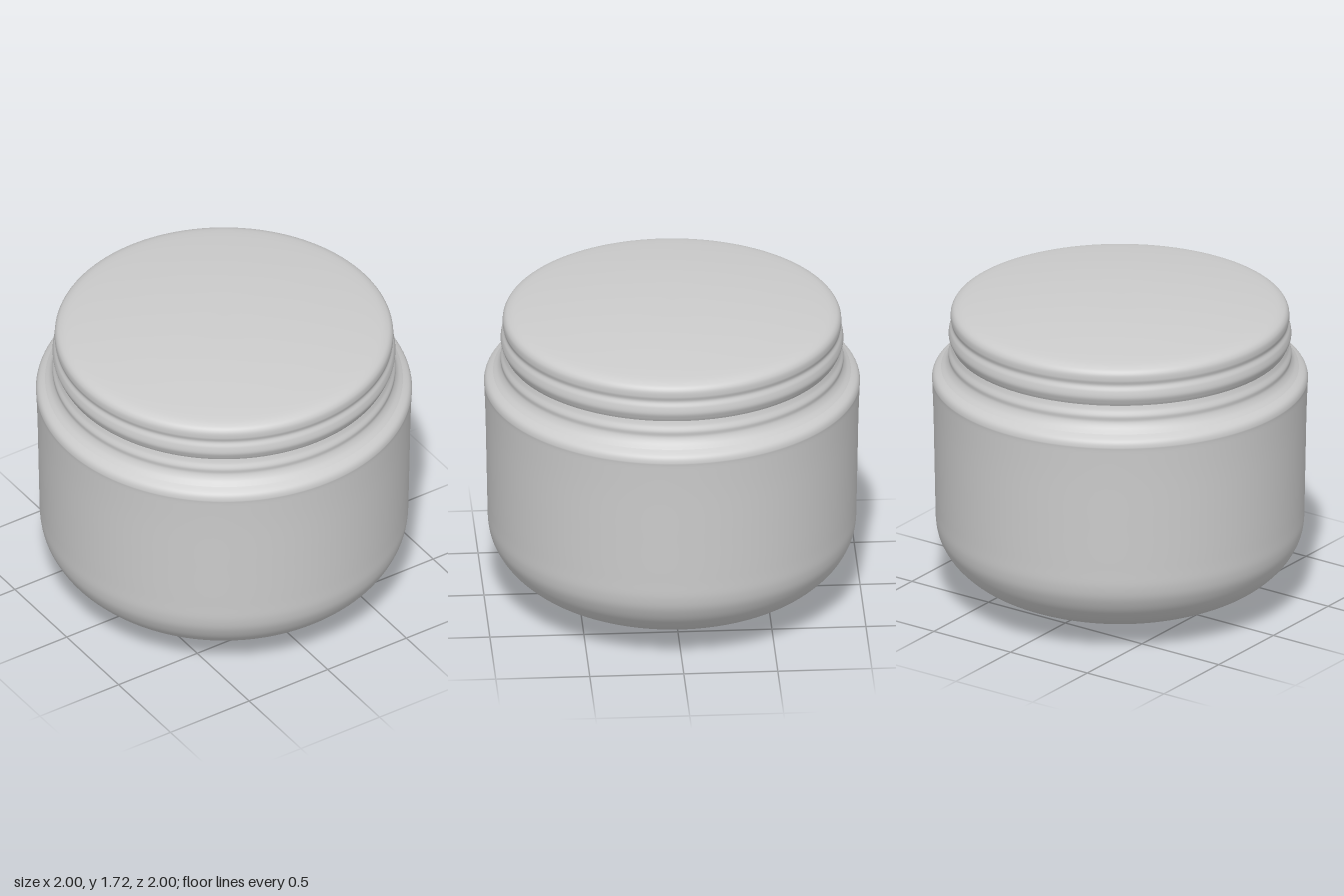
import * as THREE from 'three';

const material = new THREE.MeshStandardMaterial({ color: 0xcccccc, side: THREE.DoubleSide });

// Smooth turned part: a spline through [radius, height] points, listed bottom to top
function turned(name, points, steps) {
  const curve = new THREE.SplineCurve(points.map(([r, y]) => new THREE.Vector2(r, y)));
  const profile = curve.getPoints(steps).map((p) => p.set(Math.max(p.x, 0), Math.max(p.y, 0)));
  const mesh = new THREE.Mesh(new THREE.LatheGeometry(profile, 128), material);
  mesh.name = name;
  return mesh;
}

export function createModel() {
  const group = new THREE.Group();
  group.name = 'jar';

  // Rounded base, slightly flaring wall and soft shoulder
  group.add(turned('body', [
    [0, 0.01], [0.2, 0.015], [0.4, 0.035], [0.6, 0.085], [0.78, 0.165], [0.89, 0.255],
    [0.95, 0.345], [0.975, 0.43], [0.98, 0.55], [0.985, 0.8], [0.99, 1.05],
    [0.996, 1.22], [0.998, 1.26], [0.985, 1.29], [0.95, 1.315],
  ], 112));

  // Neck flaring out of the shoulder, with the lower ridge
  group.add(turned('neck', [
    [0.95, 1.315], [0.925, 1.34], [0.91, 1.37], [0.91, 1.4], [0.897, 1.43], [0.89, 1.455],
  ], 40));

  // Lid with the upper ridge, rounded rim and gently domed top
  group.add(turned('lid', [
    [0.89, 1.455], [0.9, 1.475], [0.91, 1.505], [0.905, 1.54], [0.893, 1.57], [0.899, 1.6],
    [0.895, 1.635], [0.87, 1.66], [0.81, 1.677], [0.65, 1.697], [0.45, 1.715], [0.22, 1.727], [0, 1.73],
  ], 96));

  return group;
}
